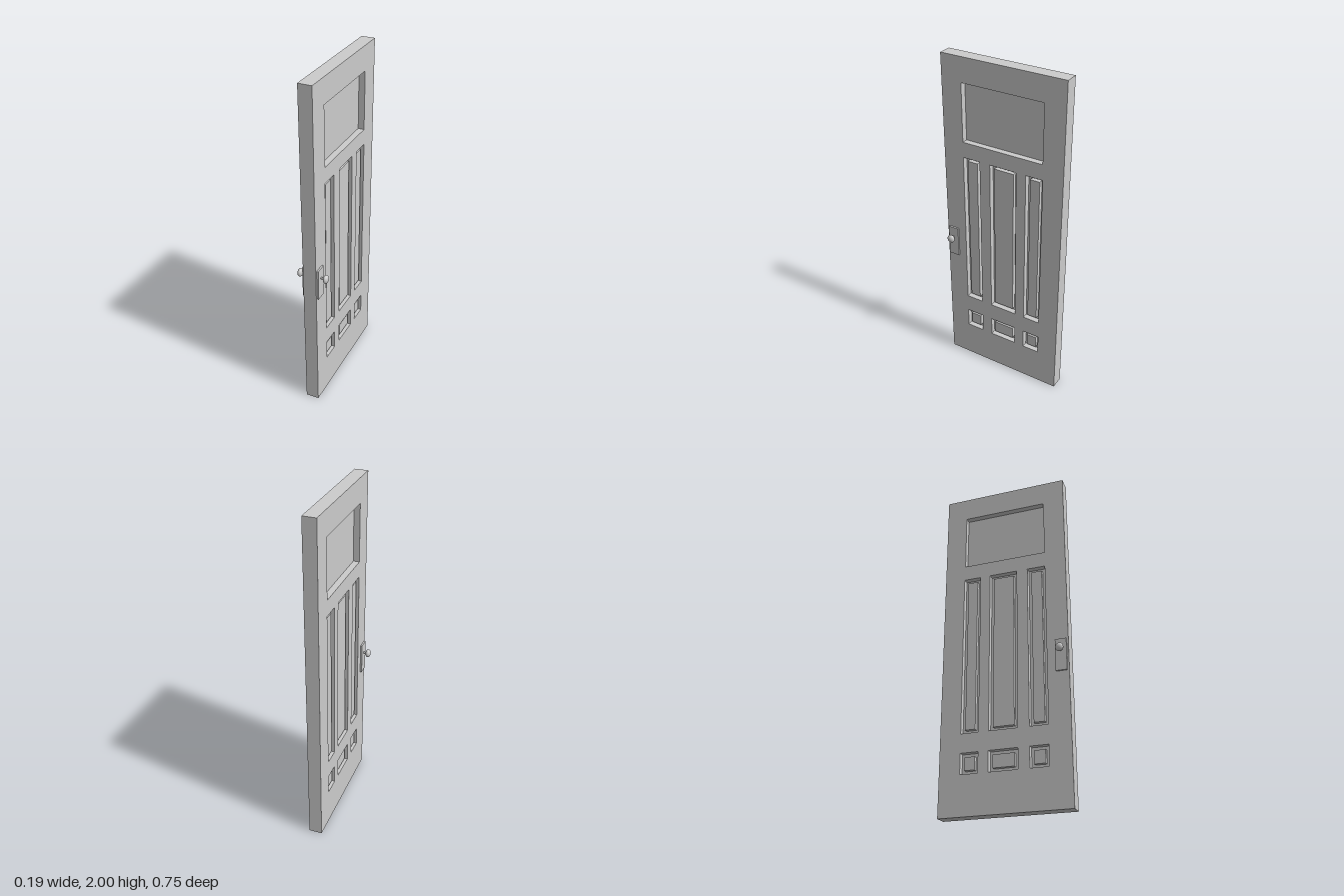
import * as THREE from 'three';

export function createModel() {
  const door = new THREE.Group();
  door.name = 'door';
  const material = new THREE.MeshStandardMaterial({ color: 0xcccccc });

  const add = (parent, name, geometry, x = 0, y = 0, z = 0) => {
    const mesh = new THREE.Mesh(geometry, material);
    mesh.name = name;
    mesh.position.set(x, y, z);
    parent.add(mesh);
  };

  // Counter-clockwise rectangle in the plane of the door (z across, y up)
  const rect = (Type, z0, z1, y0, y1) => {
    const s = new Type();
    s.moveTo(-z1, y0);
    s.lineTo(-z0, y0);
    s.lineTo(-z0, y1);
    s.lineTo(-z1, y1);
    s.closePath();
    return s;
  };

  const half = 0.039;
  const columns = [[0.143, 0.25], [-0.09, 0.077], [-0.253, -0.15]];
  const rows = [[0.455, 1.42], [0.227, 0.345]];
  const lite = [-0.25, 0.25, 1.513, 1.857];

  // Stiles and rails: one slab pierced by the panel openings
  const slab = rect(THREE.Shape, -0.375, 0.375, 0, 2);
  slab.holes.push(rect(THREE.Path, ...lite));
  for (const [z0, z1] of columns)
    for (const [y0, y1] of rows) slab.holes.push(rect(THREE.Path, z0, z1, y0, y1));
  const frame = new THREE.ExtrudeGeometry(slab, { depth: 2 * half, bevelEnabled: false });
  frame.translate(0, 0, -half).rotateY(Math.PI / 2);
  add(door, 'stilesAndRails', frame);

  // Upper pane, recessed on both sides
  add(door, 'upperPane', new THREE.BoxGeometry(0.006, lite[3] - lite[2], lite[1] - lite[0]),
    0, (lite[2] + lite[3]) / 2, (lite[0] + lite[1]) / 2);

  // Lower panels: thin backing with a raised field on both faces
  const margin = 0.022;
  for (const [z0, z1] of columns) {
    for (const [y0, y1] of rows) {
      const y = (y0 + y1) / 2, z = (z0 + z1) / 2;
      add(door, 'panelBacking', new THREE.BoxGeometry(0.01, y1 - y0, z1 - z0), 0, y, z);
      add(door, 'raisedPanel',
        new THREE.BoxGeometry(0.058, y1 - y0 - 2 * margin, z1 - z0 - 2 * margin), 0, y, z);
    }
  }

  // Lock plate, spindle and knob on each face
  for (const side of [1, -1]) {
    const handle = new THREE.Group();
    handle.name = side > 0 ? 'leftHandle' : 'rightHandle';
    add(handle, 'lockPlate', new THREE.BoxGeometry(0.012, 0.187, 0.065), side * 0.043, 0.843, 0.3325);
    const spindle = new THREE.CylinderGeometry(0.006, 0.006, 0.024, 20).rotateZ(Math.PI / 2);
    add(handle, 'spindle', spindle, side * 0.058, 0.874, 0.332);
    const knob = new THREE.SphereGeometry(0.023, 32, 20).rotateZ(Math.PI / 2).scale(0.66, 1.08, 1);
    add(handle, 'knob', knob, side * 0.078, 0.874, 0.332);
    door.add(handle);
  }

  return door;
}
